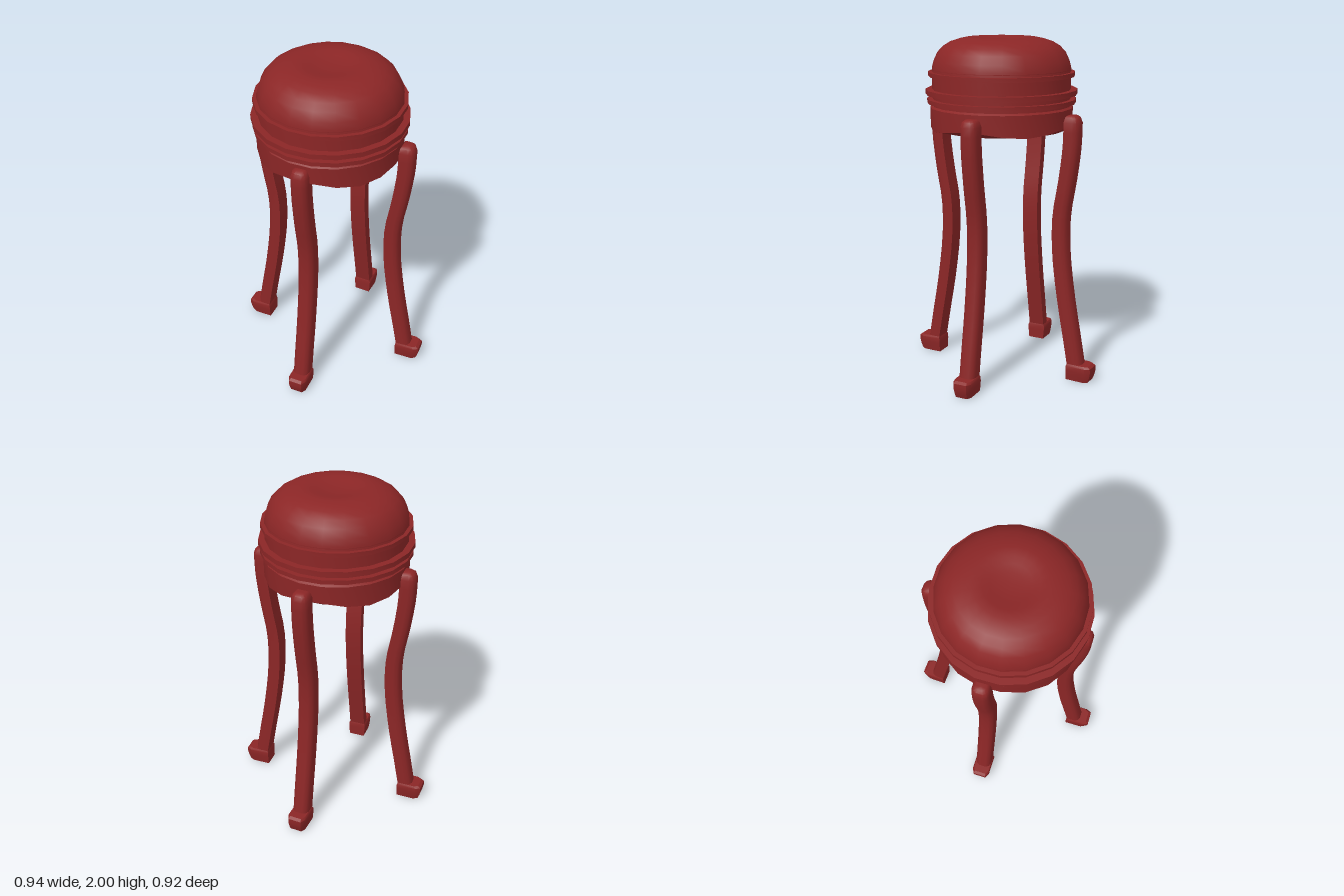
import * as THREE from 'three';
import { toCreasedNormals } from 'three/addons/utils/BufferGeometryUtils.js';

const material = new THREE.MeshStandardMaterial({ color: 0x8b2626 });

function part(name, geometry, crease = 0.7) {
  const mesh = new THREE.Mesh(toCreasedNormals(geometry, crease), material);
  mesh.name = name;
  return mesh;
}

const lathe = (profile) =>
  new THREE.LatheGeometry(profile.map(([r, y]) => new THREE.Vector2(r, y)), 20);

// Joins cross-sections { x, y, depth, width } of one outline, bottom to top, and caps both ends.
function loft(outline, sections) {
  const n = outline.length, pos = [], index = [];
  for (const s of sections) {
    for (const [u, v] of outline) pos.push(s.x + u * s.depth, s.y, -v * s.width);
  }
  const last = (sections.length - 1) * n;
  const bottom = sections.length * n, top = bottom + 1;
  for (const s of [sections[0], sections[sections.length - 1]]) pos.push(s.x, s.y, 0);
  for (let i = 0; i < n; i++) {
    const j = (i + 1) % n;
    for (let k = 0; k < last; k += n) {
      index.push(k + i, k + j, k + n + j, k + i, k + n + j, k + n + i);
    }
    index.push(bottom, j, i, top, last + i, last + j);
  }
  const geometry = new THREE.BufferGeometry();
  geometry.setAttribute('position', new THREE.Float32BufferAttribute(pos, 3));
  geometry.setIndex(index);
  return geometry;
}

// Leg: flat inside, rounded outside, bowed inward along its height
function legGeometry() {
  const outline = [
    [-0.5, -0.5], [0.1, -0.5], [0.36, -0.42], [0.5, -0.22],
    [0.5, 0.22], [0.36, 0.42], [0.1, 0.5], [-0.5, 0.5],
  ];
  const path = new THREE.CatmullRomCurve3([
    [0.5, 0.05], [0.465, 0.25], [0.42, 0.5], [0.385, 0.78], [0.385, 1.0],
    [0.418, 1.2], [0.443, 1.4], [0.447, 1.54],
  ].map(([x, y]) => new THREE.Vector3(x, y, 0)));
  const sections = path.getPoints(18).map((p) => ({ x: p.x, y: p.y, depth: 0.085, width: 0.1 }));
  sections.push({ x: 0.445, y: 1.568, depth: 0.07, width: 0.084 });
  sections.push({ x: 0.44, y: 1.58, depth: 0.045, width: 0.055 });
  return loft(outline, sections);
}

// Foot: block with clipped outer corners, flaring up to a lip
function footGeometry() {
  const outline = [
    [-0.5, -0.5], [0.3, -0.5], [0.5, -0.36], [0.5, 0.36], [0.3, 0.5], [-0.5, 0.5],
  ];
  return loft(outline, [
    { x: 0.512, y: 0, depth: 0.135, width: 0.1 },
    { x: 0.518, y: 0.03, depth: 0.146, width: 0.106 },
    { x: 0.521, y: 0.06, depth: 0.152, width: 0.112 },
    { x: 0.521, y: 0.088, depth: 0.15, width: 0.112 },
    { x: 0.515, y: 0.1, depth: 0.13, width: 0.1 },
  ]);
}

export function createModel() {
  const model = new THREE.Group();
  model.name = 'stool';

  const seat = new THREE.Group();
  seat.name = 'seat';
  seat.position.set(-0.023, 0, 0.015);
  model.add(seat);

  // Apron: its lower edge rises in a soft wave at each leg
  const apron = lathe([
    [0, 1.47], [0.375, 1.47], [0.416, 1.47], [0.418, 1.6], [0.405, 1.61], [0.405, 1.82],
  ]);
  const p = apron.attributes.position;
  for (let i = 0; i < p.count; i++) {
    const x = p.getX(i), z = p.getZ(i);
    if (p.getY(i) < 1.5 && Math.hypot(x, z) > 0.4) {
      p.setY(i, 1.47 + 0.03 * Math.sin(2 * Math.atan2(z, x)) ** 2);
    }
  }
  seat.add(part('apron', apron));

  // Raised bands around the seat
  for (const [radius, low, high] of [[0.435, 1.625, 1.65], [0.443, 1.675, 1.704], [0.428, 1.78, 1.805]]) {
    seat.add(part('band', lathe([[0.39, low], [radius, low], [radius, high], [0.39, high]])));
  }

  // Domed cushion with a shallow dimple
  seat.add(part('cushion', lathe([
    [0.407, 1.79], [0.404, 1.83], [0.393, 1.868], [0.371, 1.915], [0.338, 1.95],
    [0.295, 1.976], [0.25, 1.99], [0.2, 2], [0.15, 1.998], [0.11, 1.988], [0.06, 1.982], [0, 1.98],
  ])));

  // Four splayed legs
  const leg = legGeometry(), foot = footGeometry();
  for (const [degrees, name] of [
    [44.6, 'frontLeftLeg'], [135.7, 'frontRightLeg'], [226.3, 'backRightLeg'], [318.8, 'backLeftLeg'],
  ]) {
    const group = new THREE.Group();
    group.name = name;
    group.add(part('legPost', leg), part('foot', foot, 0.5));
    group.rotation.y = -THREE.MathUtils.degToRad(degrees);
    model.add(group);
  }
  return model;
}
